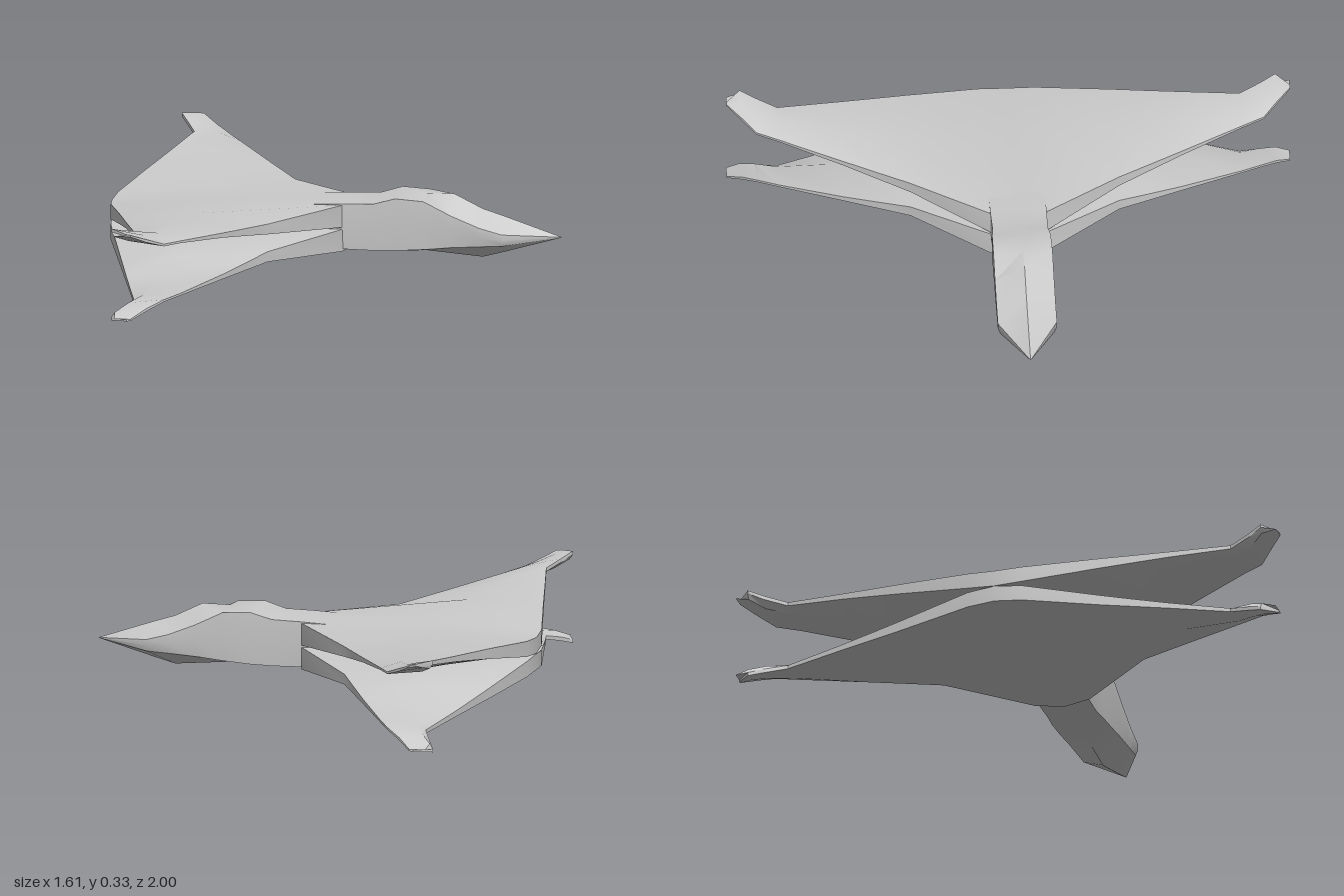
import * as THREE from 'three';
import { toCreasedNormals } from 'three/addons/utils/BufferGeometryUtils.js';

const material = new THREE.MeshStandardMaterial({ color: 0xcccccc, side: THREE.DoubleSide });

// Skin a list of equal-sized rings and close both ends with fans.
function loft(rings, crease) {
  const n = rings[0].length, pos = [];
  const tri = (a, b, c) => pos.push(...a, ...b, ...c);
  for (let i = 0; i < rings.length - 1; i++) {
    for (let j = 0; j < n; j++) {
      const k = (j + 1) % n;
      const a = rings[i][j], b = rings[i][k], c = rings[i + 1][k], d = rings[i + 1][j];
      tri(a, b, c);
      tri(a, c, d);
    }
  }
  const first = rings[0], last = rings[rings.length - 1];
  for (let j = 1; j < n - 1; j++) {
    tri(first[0], first[j + 1], first[j]);
    tri(last[0], last[j], last[j + 1]);
  }
  const g = new THREE.BufferGeometry();
  g.setAttribute('position', new THREE.Float32BufferAttribute(pos, 3));
  return toCreasedNormals(g, crease);
}

function part(name, geometry) {
  const mesh = new THREE.Mesh(geometry, material);
  mesh.name = name;
  return mesh;
}

// Half-span stations:
// z, lead x, lead top y, lead bottom y, ridge x, ridge y, trail x, trail top y, trail bottom y, underside y
const stations = [
  [0.00, 0.06, 0.257, 0.170, -0.45, 0.257, -0.805, 0.230, 0.172, 0.170],
  [0.10, 0.03, 0.255, 0.175, -0.45, 0.260, -0.797, 0.236, 0.180, 0.170],
  [0.37, -0.20, 0.240, 0.203, -0.46, 0.272, -0.730, 0.262, 0.225, 0.185],
  [0.48, -0.262, 0.247, 0.220, -0.47, 0.278, -0.703, 0.271, 0.242, 0.205],
  [0.60, -0.33, 0.255, 0.238, -0.49, 0.284, -0.674, 0.281, 0.260, 0.245],
  [0.82, -0.455, 0.271, 0.263, -0.53, 0.298, -0.620, 0.301, 0.288, 0.272],
  [0.90, -0.50, 0.276, 0.268, -0.57, 0.306, -0.656, 0.322, 0.308, 0.284],
  [0.95, -0.558, 0.302, 0.292, -0.62, 0.326, -0.682, 0.338, 0.326, 0.308],
  [1.00, -0.608, 0.327, 0.321, -0.615, 0.328, -0.622, 0.329, 0.322, 0.321],
];

// One full-span wing; the lower one is the upper one flipped about the mid plane.
function wingGeometry(lower) {
  const ring = ([z, lx, lt, lb, rx, ry, tx, tt, tb, uy], side) => {
    const pts = [[lx, lt], [rx, ry], [tx, tt], [tx, tb], [(lx + tx) / 2 - 0.05, uy], [lx, lb]]
      .map(([x, y]) => [x, lower ? 0.343 - y : y, z * side]);
    return lower ? pts.reverse() : pts;
  };
  const rings = [
    ...stations.slice(1).reverse().map((s) => ring(s, -1)),
    ...stations.map((s) => ring(s, 1)),
  ];
  return loft(rings, 0.6);
}

// Fuselage stations: x, half width, top centre y, top edge y, side bottom y, keel y
const hull = [
  [-0.40, 0.085, 0.250, 0.245, 0.105, 0.095],
  [-0.10, 0.100, 0.257, 0.255, 0.100, 0.093],
  [0.03, 0.100, 0.264, 0.260, 0.095, 0.090],
  [0.14, 0.098, 0.266, 0.262, 0.092, 0.088],
  [0.22, 0.104, 0.286, 0.285, 0.095, 0.086],
  [0.32, 0.105, 0.286, 0.278, 0.102, 0.079],
  [0.42, 0.105, 0.286, 0.228, 0.112, 0.070],
  [0.52, 0.105, 0.236, 0.187, 0.118, 0.061],
  [0.60, 0.105, 0.210, 0.165, 0.122, 0.082],
  [0.80, 0.001, 0.141, 0.140, 0.139, 0.138],
];

function fuselageGeometry() {
  const rings = hull.map(([x, w, tc, te, sb, k]) => [
    [x, tc, 0], [x, te, w], [x, (te + sb) / 2, w], [x, sb, w * 0.92],
    [x, k, 0], [x, sb, -w * 0.92], [x, (te + sb) / 2, -w], [x, te, -w],
  ]);
  return loft(rings, 0.6);
}

export function createModel() {
  const model = new THREE.Group();
  model.name = 'spacecraft';
  model.add(
    part('fuselage', fuselageGeometry()),
    part('upperWing', wingGeometry(false)),
    part('lowerWing', wingGeometry(true)),
  );
  return model;
}
